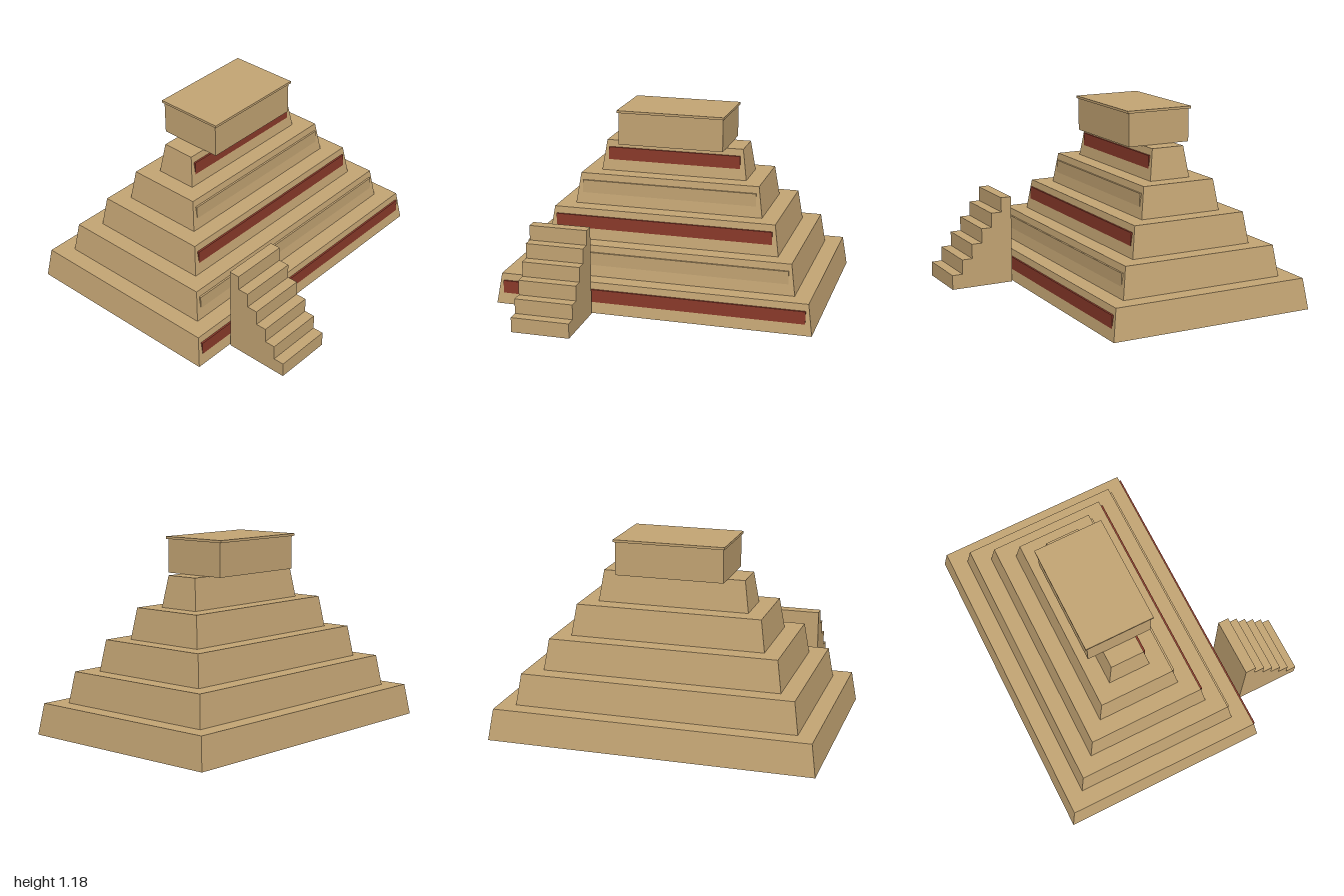
import * as THREE from 'three';

const stone = new THREE.MeshStandardMaterial({ color: 0xc4a574, side: THREE.DoubleSide });
stone.name = 'sandstone';
const red = new THREE.MeshStandardMaterial({ color: 0x8b3a2a });
red.name = 'red paint';

const CENTRE_Z = -0.21;
const TIER_H = 0.192;

function add(parent, name, geometry, material, x, y, z) {
  const mesh = new THREE.Mesh(geometry, material);
  mesh.name = name;
  mesh.position.set(x, y, z);
  parent.add(mesh);
  return mesh;
}

// Box standing on y = 0 without a floor, its top drawn in by inset on every side
function openBox(w, h, d, inset = 0) {
  const g = new THREE.BoxGeometry(w, h, d);
  const p = g.attributes.position;
  for (let i = 0; i < p.count; i++) {
    if (p.getY(i) > 0) {
      p.setX(i, p.getX(i) - Math.sign(p.getX(i)) * inset);
      p.setZ(i, p.getZ(i) - Math.sign(p.getZ(i)) * inset);
    }
  }
  const index = Array.from(g.index.array);
  index.splice(18, 6); // the floor
  g.setIndex(index);
  g.clearGroups();
  g.translate(0, h / 2, 0);
  g.computeVertexNormals();
  return g;
}

// Hollow flight of steps: risers, treads, a back wall and two stepped sides
function makeStairs() {
  const stairs = new THREE.Group();
  stairs.name = 'stairs';
  const steps = 6, width = 0.365, rise = 0.0935, run = 0.0683, front = 0.875;
  const back = front - steps * run;
  const side = new THREE.Shape();
  side.moveTo(-front, 0);
  for (let i = 0; i < steps; i++) {
    const z = front - i * run;
    add(stairs, 'riser', new THREE.PlaneGeometry(width, rise), stone, 0, (i + 0.5) * rise, z);
    add(stairs, 'tread', new THREE.PlaneGeometry(width, run).rotateX(-Math.PI / 2), stone,
      0, (i + 1) * rise, z - run / 2);
    side.lineTo(-z, (i + 1) * rise);
    side.lineTo(-z + run, (i + 1) * rise);
  }
  side.lineTo(-back, 0);
  for (const s of [-1, 1]) {
    add(stairs, 'stairSide', new THREE.ShapeGeometry(side).rotateY(Math.PI / 2), stone, s * width / 2, 0, 0);
  }
  add(stairs, 'stairBack', new THREE.PlaneGeometry(width, steps * rise).rotateY(Math.PI), stone,
    0, steps * rise / 2, back);
  stairs.position.x = -0.5525;
  return stairs;
}

export function createModel() {
  const model = new THREE.Group();
  model.name = 'steppedPyramid';

  // Five sloped tiers, each with an upright frieze sunk in its front wall
  for (let i = 0; i < 5; i++) {
    const halfX = 1 - i * 0.1325;
    const halfZ = 0.665 - i * 0.1325;
    const y = i * TIER_H;
    add(model, 'tier', openBox(2 * halfX, TIER_H, 2 * halfZ, 0.028), stone, 0, y, CENTRE_Z);
    add(model, 'frieze', new THREE.BoxGeometry(2 * (halfX - 0.043), 0.106, 0.02),
      i % 2 ? stone : red, 0, y + TIER_H / 2, CENTRE_Z + halfZ - 0.02);
  }

  // Temple on top, hollow, with a red panel inside and a thin roof slab
  const top = 5 * TIER_H;
  add(model, 'temple', openBox(0.67, 0.205, 0.415), stone, 0, top, CENTRE_Z);
  add(model, 'innerPanel', new THREE.BoxGeometry(0.19, 0.15, 0.02), red, 0, top + 0.077, CENTRE_Z);
  add(model, 'roof', new THREE.BoxGeometry(0.688, 0.015, 0.44), stone, 0, top + 0.2125, CENTRE_Z);

  model.add(makeStairs());
  return model;
}
